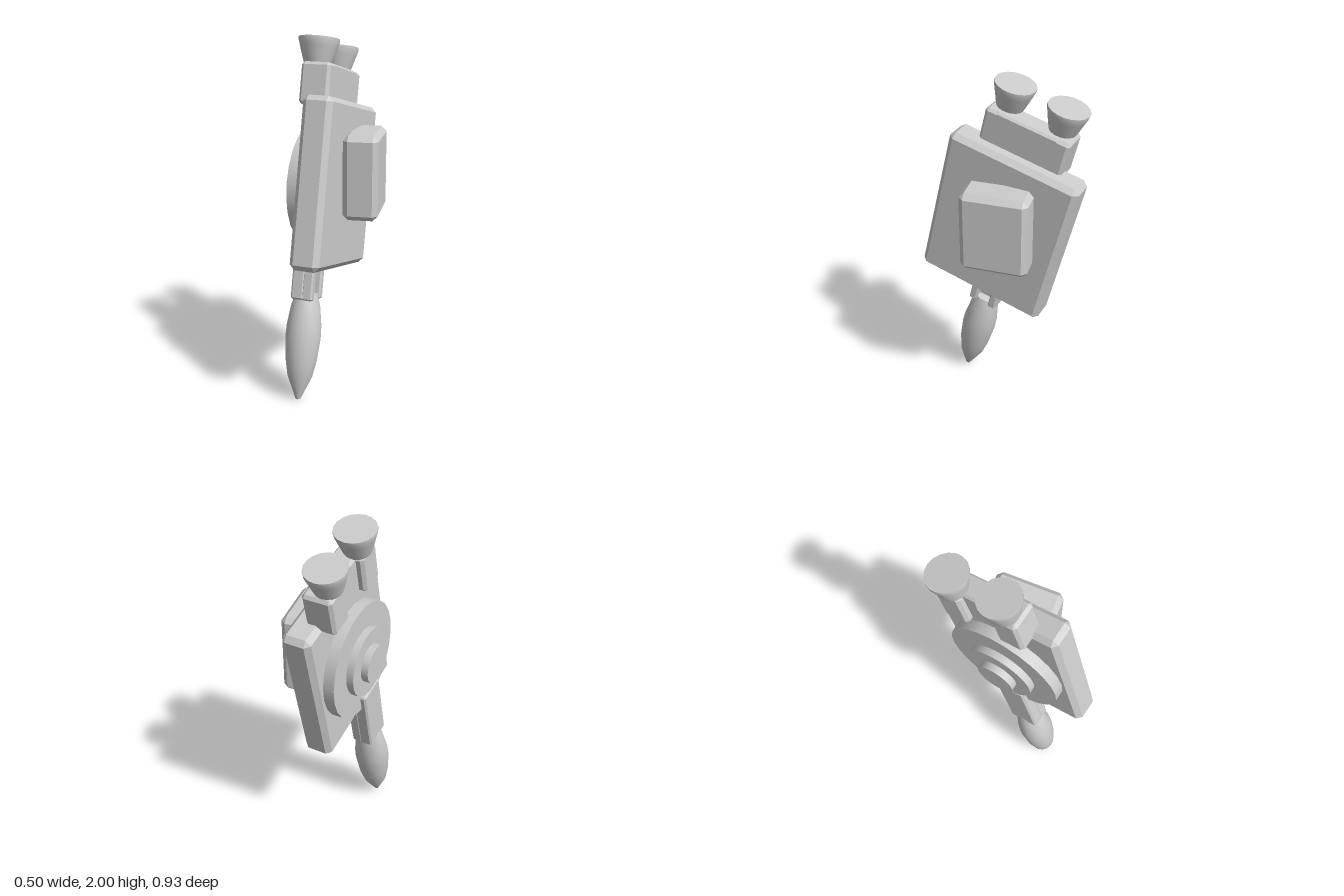
import * as THREE from 'three';
import { toCreasedNormals } from 'three/addons/utils/BufferGeometryUtils.js';
import { ConvexGeometry } from 'three/addons/geometries/ConvexGeometry.js';

const grey = new THREE.MeshStandardMaterial({ color: 0xcccccc });
grey.name = 'light grey';

function add(parent, name, geometry, x = 0, y = 0, z = 0) {
  const mesh = new THREE.Mesh(geometry, grey);
  mesh.name = name;
  mesh.position.set(x, y, z);
  parent.add(mesh);
  return mesh;
}

// Box with every edge cut by c
function chamferBox(w, h, d, c) {
  const points = [];
  for (const sx of [-1, 1]) for (const sy of [-1, 1]) for (const sz of [-1, 1]) {
    const x = w / 2, y = h / 2, z = d / 2;
    points.push(
      new THREE.Vector3(sx * x, sy * (y - c), sz * (z - c)),
      new THREE.Vector3(sx * (x - c), sy * y, sz * (z - c)),
      new THREE.Vector3(sx * (x - c), sy * (y - c), sz * z));
  }
  return new ConvexGeometry(points);
}

function lathe(profile, sides) {
  const points = profile.map(([r, y]) => new THREE.Vector2(r, y));
  return toCreasedNormals(new THREE.LatheGeometry(points, sides), 0.5);
}

// Disc facing sideways, spanning x0 to x1
function sideDisc(parent, name, radius, x0, x1, sides) {
  const geometry = new THREE.CylinderGeometry(radius, radius, x1 - x0, sides);
  add(parent, name, geometry.rotateZ(Math.PI / 2), (x0 + x1) / 2);
}

export function createModel() {
  const model = new THREE.Group();
  model.name = 'model';

  // Leaning, slightly turned body that carries everything but the side pad
  const body = new THREE.Group();
  body.name = 'body';
  body.position.y = 1.19;
  body.rotation.set(-0.239, -0.183, 0, 'YXZ');
  model.add(body);
  add(body, 'slab', chamferBox(0.165, 0.905, 0.75, 0.028));

  // Upper block: a bar with a deeper post at each end
  add(body, 'upperBar', chamferBox(0.125, 0.215, 0.36, 0.012), -0.0565, 0.5275);
  for (const s of [1, -1]) {
    add(body, 'upperPost', chamferBox(0.165, 0.225, 0.15, 0.016), -0.0765, 0.5225, s * 0.165);
    // Flared nozzle with a closed rim
    add(body, 'nozzle', lathe([
      [0, 0], [0.072, 0], [0.084, 0.035], [0.101, 0.09], [0.111, 0.122], [0.111, 0.137], [0, 0.137],
    ], 18), -0.103, 0.63, s * 0.151);
  }

  // Stepped discs on the right side
  sideDisc(body, 'largeDisc', 0.33, -0.145, -0.07, 24);
  sideDisc(body, 'middleDisc', 0.195, -0.185, -0.14, 24);
  sideDisc(body, 'hub', 0.108, -0.225, -0.18, 24);

  // Arm with two inner ribs
  add(body, 'arm', chamferBox(0.075, 0.43, 0.175, 0.01), -0.1375, -0.435);
  for (const s of [1, -1]) {
    add(body, 'armRib', chamferBox(0.06, 0.3, 0.045, 0.008), -0.08, -0.5, s * 0.062);
  }

  // Tapered spindle below the arm
  add(body, 'spindle', lathe([
    [0, -1.225], [0.014, -1.22], [0.07, -1.09], [0.09, -0.99],
    [0.1, -0.87], [0.098, -0.8], [0.082, -0.69], [0.062, -0.62], [0, -0.615],
  ], 18), -0.113);

  // Upright pad on the left side
  add(model, 'sidePad', chamferBox(0.19, 0.46, 0.37, 0.028), 0.16, 1.258, -0.028);

  return model;
}
